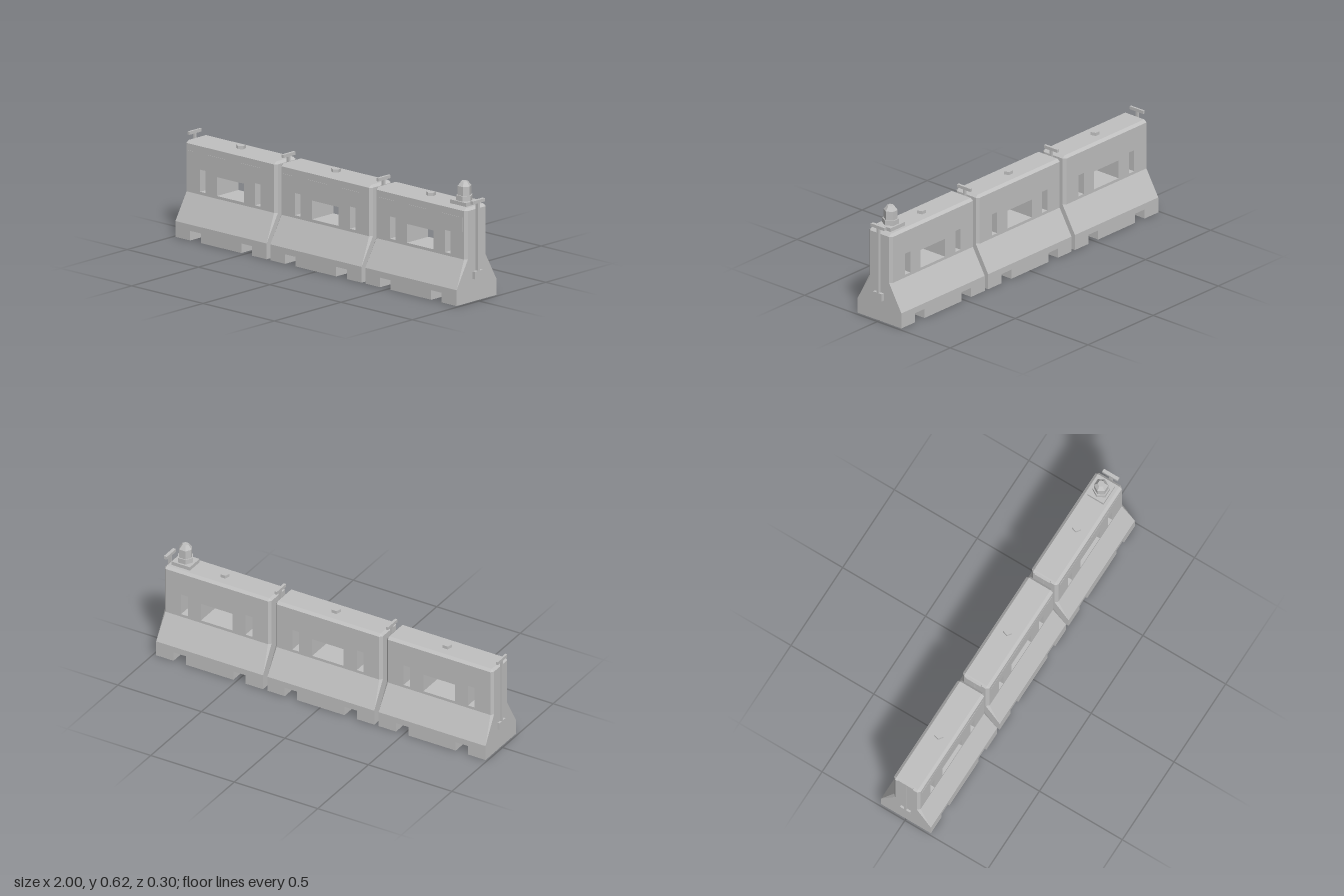
import * as THREE from 'three';
import { ConvexGeometry } from 'three/addons/geometries/ConvexGeometry.js';

const HALF = 0.32;      // half length of one barrier
const EDGE = 0.013;     // chamfer size
const SHIFT = -0.003;

const grey = new THREE.MeshStandardMaterial({ color: 0xc0c0c0 });
grey.name = 'barrierGrey';

function add(parent, name, geometry, x = 0, y = 0, z = 0) {
  const mesh = new THREE.Mesh(geometry, grey);
  mesh.name = name;
  mesh.position.set(x, y, z);
  parent.add(mesh);
  return mesh;
}

function rectHole(cx, halfWidth, y0, y1) {
  const p = new THREE.Path();
  p.moveTo(cx - halfWidth, y0);
  p.lineTo(cx - halfWidth, y1);
  p.lineTo(cx + halfWidth, y1);
  p.lineTo(cx + halfWidth, y0);
  p.closePath();
  return p;
}

function polygon(points) {
  return new THREE.Shape(points.map(([x, y]) => new THREE.Vector2(x, y)));
}

// Upper wall: pierced outline in four depth layers, outer layers pulled in as a chamfer
function wallGeometry() {
  const shape = polygon([
    [-HALF, 0.23], [HALF, 0.23], [HALF, 0.487], [HALF - EDGE, 0.5],
    [-HALF + EDGE, 0.5], [-HALF, 0.487],
  ]);
  shape.holes.push(rectHole(0, 0.094, 0.245, 0.345));
  for (const s of [-1, 1]) shape.holes.push(rectHole(s * 0.193, 0.02, 0.245, 0.363));
  const geo = new THREE.ExtrudeGeometry(shape, { depth: 3, steps: 3, bevelEnabled: false });
  const layers = [-0.08, -0.065, 0.065, 0.08];
  const pos = geo.attributes.position;
  for (let i = 0; i < pos.count; i++) {
    const layer = Math.round(pos.getZ(i));
    if (layer === 0 || layer === 3) {
      pos.setX(i, THREE.MathUtils.clamp(pos.getX(i), -HALF + EDGE, HALF - EDGE));
      pos.setY(i, Math.min(pos.getY(i), 0.487));
    }
    pos.setZ(i, layers[layer]);
  }
  geo.computeVertexNormals();
  return geo;
}

// Sloping skirt between the wide foot and the wall
function skirtGeometry() {
  const pts = [];
  for (const sx of [-1, 1]) for (const sz of [-1, 1]) {
    pts.push(new THREE.Vector3(sx * HALF, 0.084, sz * 0.15));
    pts.push(new THREE.Vector3(sx * HALF, 0.23, sz * 0.065));
    pts.push(new THREE.Vector3(sx * (HALF - EDGE), 0.23, sz * 0.08));
  }
  return new ConvexGeometry(pts);
}

// Foot with two forklift notches
function footGeometry() {
  const pts = [[-HALF, 0]];
  for (const c of [-0.179, 0.179]) {
    pts.push([c - 0.037, 0], [c - 0.037, 0.051], [c + 0.037, 0.051], [c + 0.037, 0]);
  }
  pts.push([HALF, 0], [HALF, 0.084], [-HALF, 0.084]);
  const geo = new THREE.ExtrudeGeometry(polygon(pts), { depth: 0.3, bevelEnabled: false });
  return geo.translate(0, 0, -0.15);
}

function makePin(x, width, boxWidth) {
  const pin = new THREE.Group();
  pin.name = 'connectingPin';
  pin.position.x = x;
  add(pin, 'pinRod', new THREE.BoxGeometry(width, 0.37, 0.013), 0, 0.34);
  add(pin, 'pinHandle', new THREE.BoxGeometry(width, 0.017, 0.092), 0, 0.5285);
  add(pin, 'pinFoot', new THREE.BoxGeometry(boxWidth, 0.04, 0.06), 0, 0.141);
  return pin;
}

function makeLamp() {
  const lamp = new THREE.Group();
  lamp.name = 'warningLamp';
  lamp.position.set(0.898, 0, 0);
  add(lamp, 'lampPlinth', new THREE.BoxGeometry(0.11, 0.02, 0.096), 0, 0.51);
  const tiers = [
    ['lampCollar', 0.044, 0.044, 0.52, 0.547],
    ['lampBody', 0.037, 0.037, 0.547, 0.595],
    ['lampTop', 0.018, 0.037, 0.595, 0.619],
  ];
  for (const [name, top, bottom, y0, y1] of tiers) {
    const geo = new THREE.CylinderGeometry(top, bottom, y1 - y0, 6).toNonIndexed();
    geo.computeVertexNormals();
    add(lamp, name, geo, 0, (y0 + y1) / 2).rotation.y = Math.PI / 6;
  }
  return lamp;
}

export function createModel() {
  const model = new THREE.Group();
  model.name = 'roadBarrierRow';

  const wall = wallGeometry();
  const skirt = skirtGeometry();
  const foot = footGeometry();
  const cap = new THREE.CylinderGeometry(0.025, 0.025, 0.017, 5).toNonIndexed();
  cap.computeVertexNormals();
  const panel = new THREE.BoxGeometry(0.59, 0.077, 0.002);

  for (const i of [-1, 0, 1]) {
    const barrier = new THREE.Group();
    barrier.name = 'barrier';
    barrier.position.x = i * 0.666 + SHIFT;
    add(barrier, 'wall', wall);
    add(barrier, 'skirt', skirt);
    add(barrier, 'foot', foot);
    add(barrier, 'fillerCap', cap, 0, 0.5085);
    add(barrier, 'signPanel', panel, 0, 0.412, 0.08);
    model.add(barrier);
  }

  // Pins at both ends and in the two joints
  model.add(makePin(-0.9945, 0.011, 0.011), makePin(0.991, 0.018, 0.018));
  model.add(makePin(-0.336, 0.014, 0.03), makePin(0.33, 0.014, 0.03));
  model.add(makeLamp());
  return model;
}
